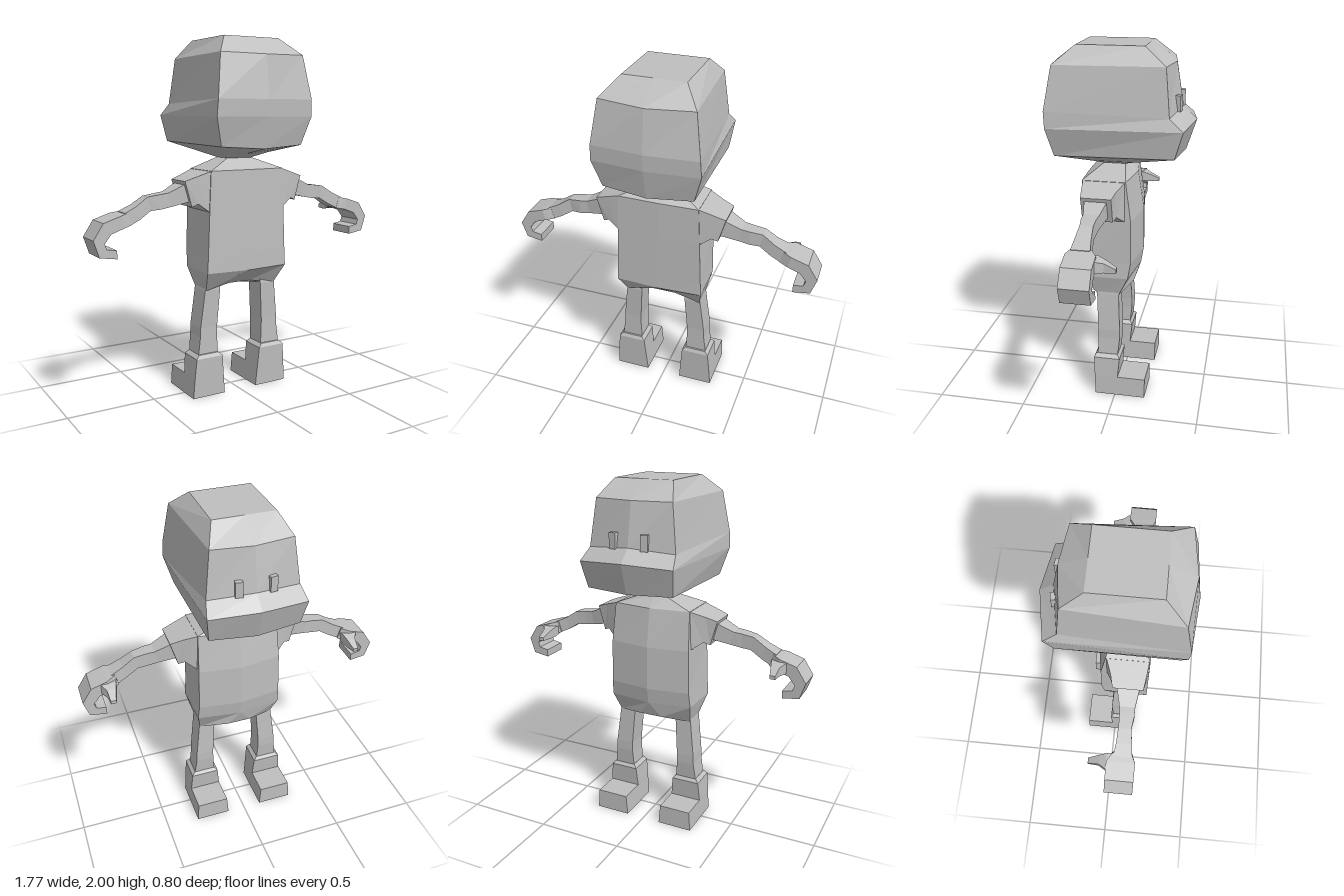
import * as THREE from 'three';

const grey = new THREE.MeshStandardMaterial({ color: 0xbfbfbf });
grey.name = 'plain grey';

// Skins a list of closed rings ([x, y, z] points) into a faceted, capped solid.
function loft(name, rings) {
  const tris = [];
  const n = rings[0].length;
  for (let i = 0; i < rings.length - 1; i++) {
    for (let j = 0; j < n; j++) {
      const k = (j + 1) % n;
      const a = rings[i][j], b = rings[i][k], c = rings[i + 1][k], d = rings[i + 1][j];
      tris.push([a, b, c], [a, c, d]);
    }
  }
  const cap = (ring, flip) => {
    const mid = [0, 1, 2].map((c) => ring.reduce((s, p) => s + p[c], 0) / n);
    ring.forEach((p, j) => {
      const q = ring[(j + 1) % n];
      tris.push(flip ? [mid, q, p] : [mid, p, q]);
    });
  };
  cap(rings[0], true);
  cap(rings[rings.length - 1], false);

  // Drop empty triangles and turn the surface outwards
  const solid = tris
    .map((t) => t.map((p) => new THREE.Vector3(...p)))
    .filter(([a, b, c]) => new THREE.Triangle(a, b, c).getArea() > 1e-7);
  const volume = solid.reduce((s, [a, b, c]) => s + a.dot(b.clone().cross(c)), 0);
  const points = solid.flatMap(([a, b, c]) => (volume < 0 ? [a, c, b] : [a, b, c]));
  const geometry = new THREE.BufferGeometry().setFromPoints(points);
  geometry.computeVertexNormals();
  const mesh = new THREE.Mesh(geometry, grey);
  mesh.name = name;
  return mesh;
}

// Half ring from back centre to front centre, completed by mirroring in x
const mirrorRing = (half) => [...half, ...half.map(([x, y, z]) => [-x, y, z]).reverse()];

// Flat rectangular ring at height y
const rect = (y, x0, x1, z0, z1) => [[x0, y, z0], [x1, y, z0], [x1, y, z1], [x0, y, z1]];

// Arm ring: upper and lower outline point, spread between two depths
const slice = (side) => ([xt, yt, xb, yb, z0, z1]) => [
  [side * xt, yt, z0], [side * xt, yt, z1], [side * xb, yb, z1], [side * xb, yb, z0],
];

export function createModel() {
  const model = new THREE.Group();
  model.name = 'figure';

  // Head with a projecting muzzle: back centre, back corner, front corner, front centre
  model.add(loft('head', [
    [[0, 1.35, 0.1], [0.075, 1.35, 0.1], [0.075, 1.35, -0.02], [0, 1.35, -0.02]],
    [[0, 1.375, 0.17], [0.15, 1.38, 0.16], [0.15, 1.38, -0.08], [0, 1.375, -0.085]],
    [[0, 1.41, 0.36], [0.25, 1.425, 0.335], [0.25, 1.435, -0.31], [0, 1.43, -0.345]],
    [[0, 1.58, 0.395], [0.295, 1.58, 0.37], [0.27, 1.585, -0.355], [0, 1.6, -0.4]],
    [[0, 1.67, 0.4], [0.29, 1.67, 0.375], [0.25, 1.65, -0.28], [0, 1.67, -0.325]],
    [[0, 1.9, 0.37], [0.255, 1.905, 0.335], [0.22, 1.905, -0.255], [0, 1.905, -0.285]],
    [[0, 2, 0.225], [0.17, 2, 0.225], [0.17, 2, -0.14], [0, 2, -0.14]],
  ].map(mirrorRing)));

  // Torso
  model.add(loft('torso', [
    [[0.07, 0.64, 0.1], [0.225, 0.615, 0.115], [0.225, 0.615, -0.01], [0.07, 0.64, -0.07]],
    [[0, 0.725, 0.195], [0.255, 0.73, 0.19], [0.25, 0.73, -0.065], [0, 0.73, -0.1]],
    [[0, 0.82, 0.195], [0.25, 0.82, 0.19], [0.245, 0.82, -0.08], [0, 0.82, -0.115]],
    [[0, 1.07, 0.195], [0.24, 1.07, 0.19], [0.24, 1.07, -0.08], [0, 1.07, -0.115]],
    [[0, 1.29, 0.195], [0.23, 1.29, 0.19], [0.23, 1.29, -0.05], [0, 1.29, -0.08]],
    [[0, 1.35, 0.1], [0.08, 1.35, 0.1], [0.08, 1.35, -0.02], [0, 1.35, -0.02]],
  ].map(mirrorRing)));

  for (const [side, label] of [[1, 'left'], [-1, 'right']]) {
    // Eye
    const eye = new THREE.Mesh(new THREE.BoxGeometry(0.04, 0.085, 0.03), grey);
    eye.name = `${label}Eye`;
    eye.position.set(side * 0.09, 1.7, -0.308);
    eye.rotation.y = side * -0.16;
    model.add(eye);

    // Short sleeve
    model.add(loft(`${label}Sleeve`, [
      [0.2, 1.29, 0.2, 1.07, 0.185, -0.045],
      [0.23, 1.288, 0.24, 1.07, 0.185, -0.045],
      [0.31, 1.262, 0.3, 1.115, 0.175, -0.015],
      [0.375, 1.24, 0.335, 1.1, 0.165, 0],
    ].map(slice(side))));

    // Arm
    model.add(loft(`${label}Arm`, [
      [0.3, 1.24, 0.3, 1.13, 0.15, 0.02],
      [0.37, 1.22, 0.35, 1.125, 0.145, 0.025],
      [0.455, 1.18, 0.44, 1.105, 0.13, 0.045],
      [0.5, 1.175, 0.5, 1.095, 0.13, 0.05],
      [0.57, 1.165, 0.555, 1.09, 0.12, 0.05],
      [0.64, 1.12, 0.62, 1.05, 0.13, 0.045],
      [0.705, 1.09, 0.685, 1.02, 0.135, 0.035],
    ].map(slice(side))));

    // Hand curling down into a hook
    model.add(loft(`${label}Hand`, [
      [0.69, 1.09, 0.67, 1.025, 0.135, 0.03],
      [0.735, 1.08, 0.72, 1.015, 0.155, 0],
      [0.83, 1.05, 0.79, 0.99, 0.155, 0],
      [0.885, 0.965, 0.825, 0.945, 0.155, 0],
      [0.855, 0.875, 0.815, 0.915, 0.155, 0],
      [0.76, 0.86, 0.76, 0.905, 0.155, 0],
    ].map(slice(side))));

    // Thumb
    const thumbRing = ([z, x0, x1, y0, y1]) =>
      [[x0, y0, z], [x1, y0, z], [x1, y1, z], [x0, y1, z]].map(([x, y, w]) => [side * x, y, w]);
    model.add(loft(`${label}Thumb`, [
      [0.06, 0.68, 0.78, 1.025, 1.06],
      [0, 0.69, 0.775, 1.005, 1.065],
      [-0.04, 0.7, 0.75, 1.0, 1.05],
      [-0.1, 0.715, 0.745, 1.0, 1.02],
    ].map(thumbRing)));

    // Leg
    const place = (args) => rect(args[0], side * args[1], side * args[2], args[3], args[4]);
    model.add(loft(`${label}Leg`, [
      [0.67, 0.13, 0.22, 0.11, -0.01],
      [0.615, 0.135, 0.23, 0.115, -0.01],
      [0.4, 0.15, 0.255, 0.105, -0.02],
      [0.345, 0.15, 0.257, 0.105, -0.02],
      [0.24, 0.145, 0.27, 0.105, -0.01],
    ].map(place)));

    // Boot shaft and toe
    model.add(loft(`${label}Boot`, [
      [0.25, 0.145, 0.27, 0.115, -0.01],
      [0.23, 0.125, 0.29, 0.125, -0.025],
      [0.115, 0.115, 0.3, 0.12, -0.015],
      [0, 0.105, 0.308, 0.115, -0.015],
    ].map(place)));
    model.add(loft(`${label}Toe`, [
      [0.115, 0.115, 0.3, 0, -0.175],
      [0, 0.105, 0.308, 0, -0.175],
    ].map(place)));
  }
  return model;
}
